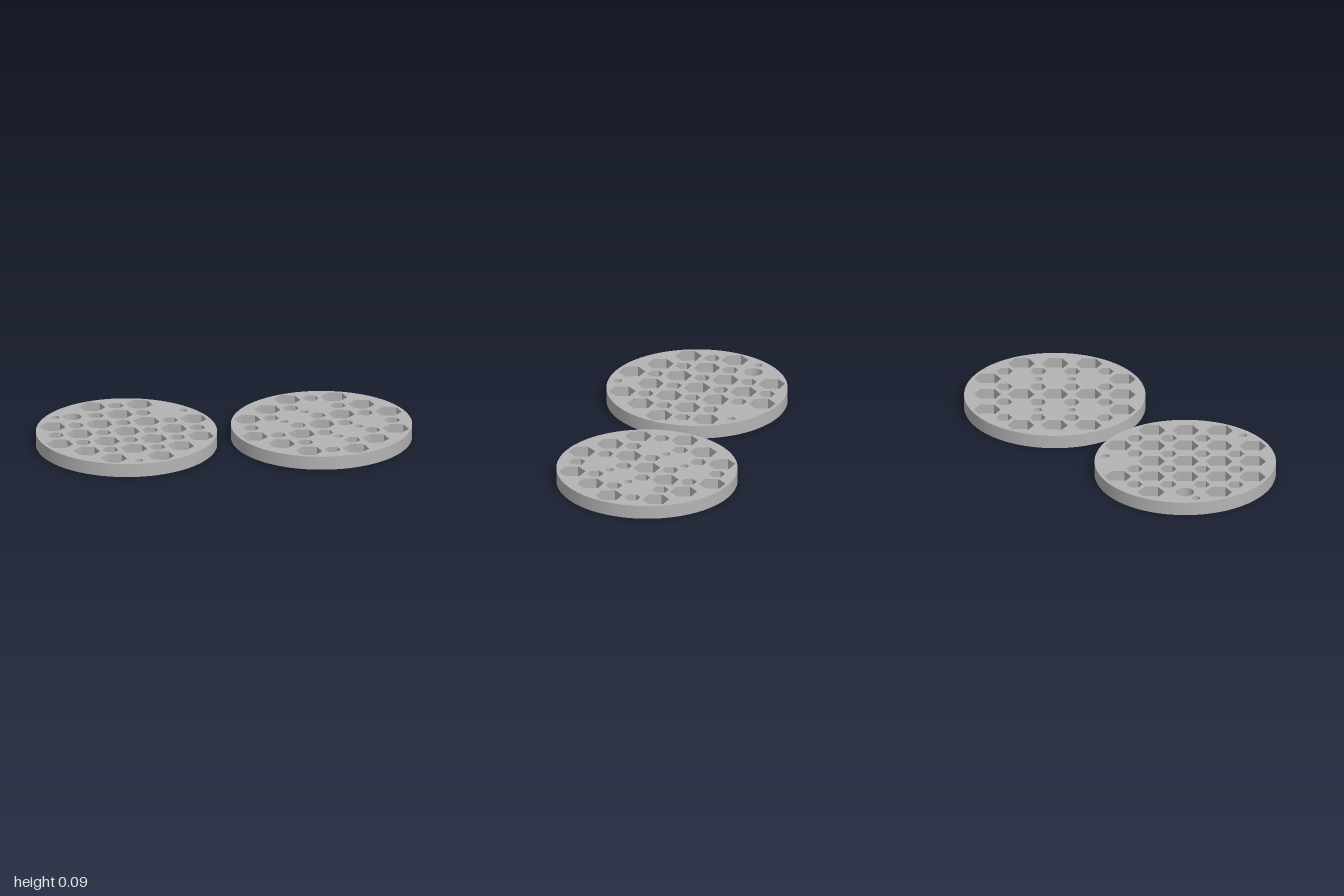
import * as THREE from 'three';
import { mergeGeometries } from 'three/addons/utils/BufferGeometryUtils.js';

const R = 0.555, H = 0.085, FLOOR = 0.02, PITCH = 0.206;
const LARGE = { hex: 0.082, bore: 0.0475 };
const SMALL = { hex: 0.05, bore: 0.026 };
const BORE_SIDES = 32, RIM_SIDES = 96;

// Regular polygon points around (x, z); flip mirrors z for faces looking up
function ring(x, z, r, sides, flip) {
  return Array.from({ length: sides }, (_, i) => {
    const a = (i / sides) * Math.PI * 2;
    return new THREE.Vector2(x + r * Math.cos(a), (flip ? -z : z) + r * Math.sin(a));
  });
}

// Horizontal face with openings, looking up or down
function face(outline, openings, y, up) {
  const shape = new THREE.Shape(ring(outline.x, outline.z, outline.r, outline.sides, up));
  for (const o of openings) shape.holes.push(new THREE.Path(ring(o.x, o.z, o.r, o.sides, up)));
  return new THREE.ShapeGeometry(shape).rotateX(up ? -Math.PI / 2 : Math.PI / 2).translate(0, y, 0).toNonIndexed();
}

// Upright wall: rising profiles face outward, falling ones inward
function wall({ x, z, r, sides }, y0, y1) {
  const profile = [new THREE.Vector2(r, y0), new THREE.Vector2(r, y1)];
  const g = new THREE.LatheGeometry(profile, sides, Math.PI / 2).translate(x, 0, z).toNonIndexed();
  if (sides === 6) g.computeVertexNormals();
  return g;
}

const circle = (x, z, r) => ({ x, z, r, sides: BORE_SIDES });
const hexagon = (x, z, r) => ({ x, z, r, sides: 6 });

function makeDisc(name, material, { large, small, plain }) {
  const disc = new THREE.Group();
  disc.name = name;
  const add = (label, parts) => {
    const mesh = new THREE.Mesh(mergeGeometries(parts), material);
    mesh.name = label;
    disc.add(mesh);
  };
  const topOpenings = [], bottomOpenings = [], pockets = [], bores = [];

  // Hexagonal nut pockets with a bore through the floor
  for (const [list, size] of [[large, LARGE], [small, SMALL]]) {
    for (const [i, j] of list) {
      const x = i * PITCH, z = j * PITCH;
      const hex = hexagon(x, z, size.hex), bore = circle(x, z, size.bore);
      topOpenings.push(hex);
      bottomOpenings.push(bore);
      pockets.push(wall(hex, H, FLOOR), face(hex, [bore], FLOOR, true));
      bores.push(wall(bore, FLOOR, 0));
    }
  }
  // Plain through holes
  for (const [x, z, r] of plain) {
    const hole = circle(x, z, r);
    topOpenings.push(hole);
    bottomOpenings.push(hole);
    bores.push(wall(hole, H, 0));
  }

  const rim = { x: 0, z: 0, r: R, sides: RIM_SIDES };
  add('topFace', [face(rim, topOpenings, H, true)]);
  add('bottomFace', [face(rim, bottomOpenings, 0, false)]);
  add('rim', [wall(rim, 0, H)]);
  add('nutPockets', pockets);
  add('bores', bores);
  return disc;
}

// Grid positions from rows of { row: [columns] }
const grid = rows => rows.flatMap(([j, cols]) => cols.map(i => [i, j]));

export function createModel() {
  const grey = new THREE.MeshStandardMaterial({ color: 0xb4b4b4 });
  grey.name = 'grey';
  const model = new THREE.Group();
  model.name = 'perforatedDiscs';
  const half = [-1.5, -0.5, 0.5, 1.5], all = [-2, -1, 0, 1, 2];

  // Rear disc: dense pattern, one wide hole and three mounting holes
  const rear = makeDisc('rearDisc', grey, {
    large: grid([[-2, [-1, 1]], [-1, all], [0, [-2, -1, 0, 1]], [1, all], [2, [-1, 0, 1]]]),
    small: grid([[-1.5, half], [-0.5, half], [0.5, half], [1.5, half.slice(1)]]),
    plain: [[0, -2 * PITCH, 0.056], [-0.069, -0.491, 0.026], [0.489, 0.069, 0.026], [-0.351, 0.351, 0.026]],
  });
  rear.position.set(-0.402, 0, -0.445);

  // Front disc: open middle with four small plain holes
  const p = PITCH;
  const front = makeDisc('frontDisc', grey, {
    large: grid([[-2, [-1, 0, 1]], [-1, [-2, 2]], [0, all], [1, [-2, 2]], [2, [-1, 0, 1]]]),
    small: grid(half.map(j => [j, half])),
    plain: [-1, 1].flatMap(j => [-0.5, 0.5].map(i => [i * p, j * p, 0.026])),
  });
  front.position.set(0.402, 0, 0.445);

  model.add(rear, front);
  return model;
}
